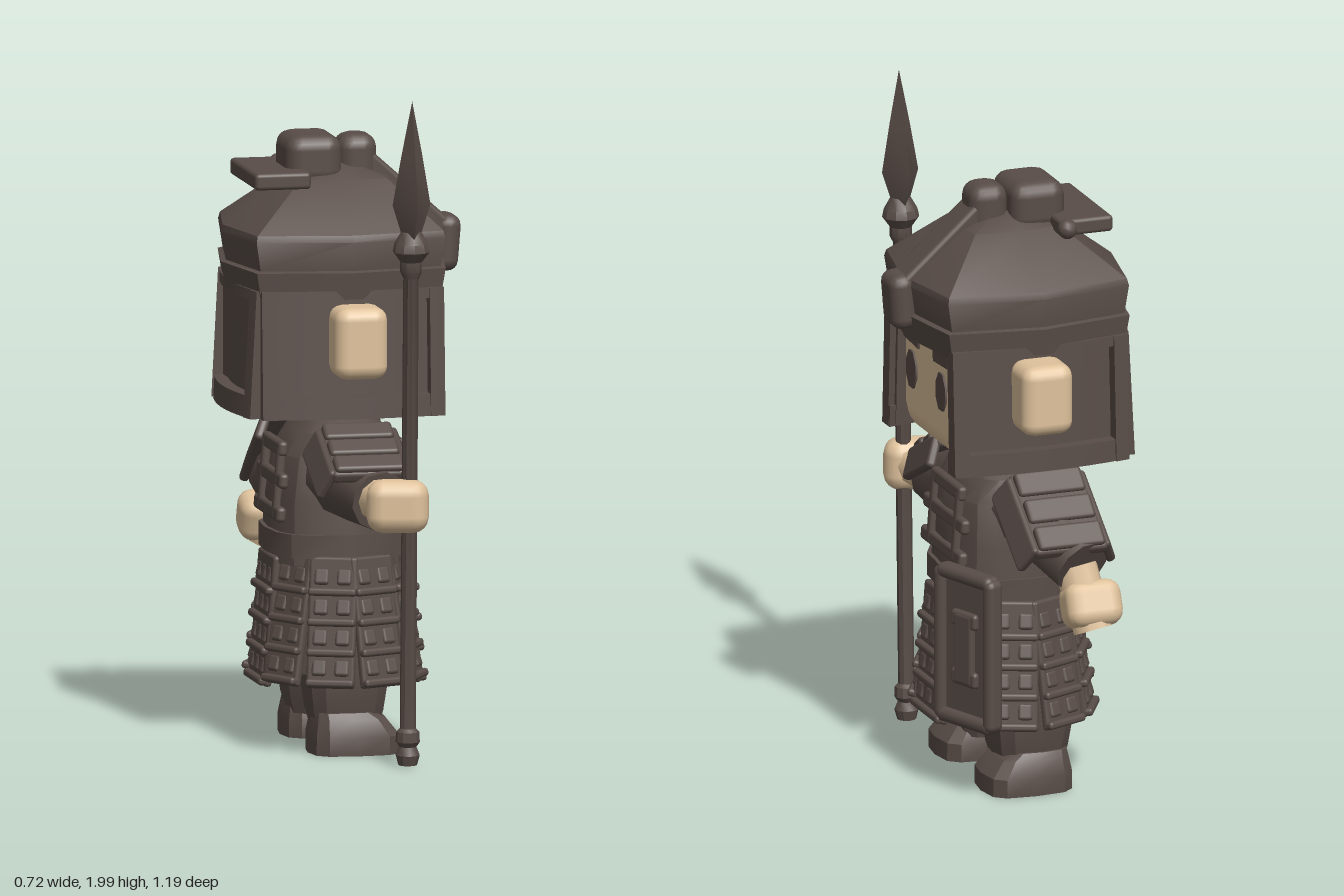
import * as THREE from 'three';
import { toCreasedNormals } from 'three/addons/utils/BufferGeometryUtils.js';
import { RoundedBoxGeometry } from 'three/addons/geometries/RoundedBoxGeometry.js';

export function createModel() {
  const armour = new THREE.MeshStandardMaterial({ color: 0x584c47 });
  armour.name = 'darkArmour';
  const skin = new THREE.MeshStandardMaterial({ color: 0xdfc29c });
  skin.name = 'skin';

  const root = new THREE.Group();
  root.name = 'spearGuard';
  const figure = new THREE.Group(); // faces +x, symmetric about its own z = 0
  figure.name = 'figure';
  figure.position.z = -0.085;
  root.add(figure);

  function add(name, geo, mat, pos = [0, 0, 0], rot = [0, 0, 0], parent = figure) {
    const m = new THREE.Mesh(geo, mat);
    m.name = name;
    m.position.set(...pos);
    m.rotation.set(...rot);
    parent.add(m);
    return m;
  }
  const rbox = (x, y, z, r = 0.02) => new RoundedBoxGeometry(x, y, z, 2, r);

  // Stacked superellipse rings [y, halfX, halfZ, centreX], capped at both ends
  function loft(rings, p = 3, n = 16) {
    const pos = [], idx = [];
    const f = (v) => (Math.abs(v) < 1e-6 ? 0 : Math.sign(v) * Math.pow(Math.abs(v), 2 / p));
    for (const [y, hx, hz, cx = 0] of rings)
      for (let j = 0; j < n; j++) {
        const t = (j / n) * Math.PI * 2;
        pos.push(cx + hx * f(Math.cos(t)), y, hz * f(Math.sin(t)));
      }
    const last = rings.length - 1, bottom = rings.length * n, top = bottom + 1;
    pos.push(rings[0][3] || 0, rings[0][0], 0, rings[last][3] || 0, rings[last][0], 0);
    for (let j = 0; j < n; j++) {
      const k = (j + 1) % n;
      for (let i = 0; i < last; i++) {
        const a = i * n + j, b = i * n + k;
        idx.push(a, a + n, b, b, a + n, b + n);
      }
      idx.push(bottom, j, k, top, last * n + k, last * n + j);
    }
    const g = new THREE.BufferGeometry();
    g.setAttribute('position', new THREE.Float32BufferAttribute(pos, 3));
    g.setIndex(idx);
    return toCreasedNormals(g, 0.5);
  }

  // Tapered limb from point a to point b
  function limb(name, a, b, ra, rb, mat, sides = 10) {
    const A = new THREE.Vector3(...a), B = new THREE.Vector3(...b), d = B.clone().sub(A);
    const m = add(name, new THREE.CylinderGeometry(rb, ra, d.length(), sides), mat);
    m.position.copy(A).add(B).multiplyScalar(0.5);
    m.quaternion.setFromUnitVectors(new THREE.Vector3(0, 1, 0), d.normalize());
  }

  // Head, hair, ears and face
  add('head', rbox(0.48, 0.5, 0.495, 0.085), skin, [-0.01, 1.27, 0]);
  add('hair', rbox(0.28, 0.36, 0.5, 0.03), armour, [-0.16, 1.21, 0]);
  add('neck', new THREE.CylinderGeometry(0.08, 0.09, 0.1, 12), armour, [-0.01, 1.0, 0]);
  for (const s of [-1, 1]) {
    add('ear', rbox(0.16, 0.215, 0.15, 0.04), skin, [-0.01, 1.245, s * 0.32]);
    const eye = add('eye', new THREE.CylinderGeometry(0.042, 0.042, 0.009, 8, 1, false, Math.PI / 8), armour, [0.232, 1.228, s * 0.123], [0, 0, -Math.PI / 2]);
    eye.scale.x = 1.45;
    add('brow', rbox(0.009, 0.046, 0.125, 0.0044), armour, [0.233, 1.332, s * 0.122], [s * -0.06, 0, 0]);
  }

  // Eight-sided helmet dome with its band
  add('helmetDome', loft([
    [1.37, 0.32, 0.315, -0.02], [1.45, 0.335, 0.322, -0.02], [1.455, 0.32, 0.31, -0.02],
    [1.54, 0.335, 0.315, -0.02], [1.56, 0.33, 0.308, -0.02], [1.7, 0.155, 0.135, -0.01], [1.74, 0.05, 0.05, -0.01],
  ], 4.3, 8), armour);

  // Framed helmet flaps, bowed outward in the middle and flared at the foot
  function flap(name, width, bulge, pos, yaw) {
    const g = new THREE.Group();
    g.name = name;
    const piece = (part, w, h, d, x, y, z) => {
      const geo = new THREE.BoxGeometry(w, h, d, 8, 1, 1).translate(x, y, z), v = geo.attributes.position;
      for (let i = 0; i < v.count; i++)
        v.setZ(i, v.getZ(i) - bulge * Math.pow((2 * v.getX(i)) / width, 2) + 0.02 * (1 - v.getY(i) / 0.38));
      geo.computeVertexNormals();
      add(part, geo, armour, [0, 0, 0], [0, 0, 0], g);
    };
    piece('flapPanel', width - 0.04, 0.37, 0.02, 0, 0.19, -0.05);
    piece('flapBottomRail', width, 0.065, 0.055, 0, 0.0325, -0.028);
    piece('flapTopRail', width, 0.03, 0.055, 0, 0.365, -0.028);
    for (const s of [-1, 1])
      piece('flapPost', 0.045, 0.38, 0.05, s * (width / 2 - 0.022), 0.19, -0.02);
    g.position.set(...pos);
    g.rotation.y = yaw;
    figure.add(g);
  }
  flap('leftFlap', 0.55, 0.03, [-0.018, 1.015, -0.31], Math.PI);
  flap('rightFlap', 0.55, 0.03, [-0.018, 1.015, 0.31], 0);
  flap('backFlap', 0.53, 0.035, [-0.335, 1.015, 0], -Math.PI / 2);

  // Top knot, crest strip and hairpin
  add('topKnot', rbox(0.17, 0.15, 0.21, 0.045), armour, [-0.09, 1.755, 0]);
  add('knotFront', rbox(0.12, 0.15, 0.13, 0.045), armour, [0.05, 1.75, 0]);
  add('crestStrip', rbox(0.33, 0.06, 0.11, 0.015), armour, [0.195, 1.64, 0], [0, 0, -0.73]);
  add('browOrnament', rbox(0.08, 0.17, 0.125, 0.035), armour, [0.32, 1.49, 0], [0, 0, -0.08]);
  add('hairPlate', rbox(0.17, 0.05, 0.36, 0.012), armour, [-0.205, 1.708, 0]);
  limb('hairPin', [-0.12, 1.71, 0.08], [-0.14, 1.71, -0.19], 0.013, 0.013, armour, 8);
  add('pinBall', new THREE.SphereGeometry(0.03, 10, 8), armour, [-0.14, 1.71, -0.19]);

  // Torso, collar and waist band
  add('torso', loft([
    [0.56, 0.2, 0.225, -0.015], [0.75, 0.195, 0.22, -0.015], [0.88, 0.18, 0.205, -0.01],
    [0.95, 0.14, 0.185, -0.005], [1.0, 0.09, 0.1],
  ]), armour);
  add('collar', loft([[0.945, 0.125, 0.14], [0.985, 0.12, 0.12]], 2.5), armour);
  add('waistBand', loft([[0.585, 0.21, 0.235, -0.015], [0.655, 0.21, 0.235, -0.015]]), armour);

  // Raised lames and straps on chest and back
  for (const s of [-1, 1]) {
    const x = (d) => -0.015 + s * d;
    for (const y of [0.71, 0.81, 0.9])
      add('chestLame', rbox(0.03, 0.045, y > 0.85 ? 0.24 : 0.33, 0.012), armour, [x(0.192 - (y - 0.71) * 0.08), y, 0], [0, 0, s * 0.08]);
    for (const z of [-0.1, 0.1])
      add('chestStrap', rbox(0.028, 0.22, 0.03, 0.01), armour, [x(0.187), 0.8, z], [0, 0, s * 0.08]);
  }

  // Skirt of hanging lamellar panels
  add('underSkirt', loft([[0.24, 0.2, 0.27, -0.01], [0.6, 0.18, 0.215, -0.01]], 2.4), armour);
  const count = 10, hx = 0.212, hz = 0.276;
  for (let i = 0; i < count; i++) {
    const t = (i / count) * Math.PI * 2, end = i % 5 === 0;
    const w = end ? 0.22 : 0.145, g = new THREE.Group();
    g.name = 'skirtPanel';
    add('panelBack', rbox(0.025, 0.39, w, 0.01), armour, [0, 0, 0], [0, 0, 0], g);
    for (let r = 0; r < 4; r++) {
      add('panelRow', rbox(0.03, 0.024, w, 0.01), armour, [0.014, 0.09 - r * 0.09, 0], [0, 0, 0], g);
      for (const c of end ? [-1, 0, 1] : [-0.5, 0.5])
        add('panelScale', rbox(0.024, 0.05, 0.045, 0.01), armour, [0.006, 0.135 - r * 0.09, c * 0.068], [0, 0, 0.15], g);
    }
    g.position.set(-0.01 + hx * Math.cos(t), end ? 0.385 : 0.4, hz * Math.sin(t));
    g.rotation.set(0, -Math.atan2(Math.sin(t) / hz, Math.cos(t) / hx), end ? 0.08 : 0.16);
    figure.add(g);
  }

  // Legs and boots
  for (const s of [-1, 1]) {
    add('leg', loft([[0.08, 0.1, 0.1, -0.02], [0.13, 0.115, 0.11, -0.02], [0.2, 0.125, 0.125, -0.02], [0.34, 0.125, 0.125, -0.02]], 3, 12), armour, [0, 0, s * 0.165]);
    add('boot', loft([[0.005, 0.135, 0.115], [0.06, 0.135, 0.118], [0.11, 0.11, 0.1, -0.015], [0.13, 0.09, 0.09, -0.03]], 3.5, 12), armour, [0, 0, s * 0.192]);
  }

  // Layered shoulder guards: outward length follows the arm slope
  function shoulder(name, pos, pitch, side, len) {
    const g = new THREE.Group();
    g.name = name;
    add('guardPlate', rbox(0.23, 0.04, len, 0.015), armour, [0, 0, 0], [0, 0, 0], g);
    for (const k of [-1, 0, 1])
      add('guardLame', rbox(0.21, 0.035, len * 0.27, 0.012), armour, [0, 0.02, k * len * 0.34], [side * 0.12, 0, 0], g);
    for (const k of [-1, 1])
      add('guardSide', rbox(0.03, 0.1, len * 0.95, 0.012), armour, [k * 0.125, -0.03, 0], [0, 0, k * 0.4], g);
    g.position.set(...pos);
    g.rotation.x = pitch;
    figure.add(g);
  }
  shoulder('rightShoulder', [0, 0.91, 0.335], 0.45, 1, 0.25);
  shoulder('leftShoulder', [-0.06, 0.875, -0.32], -0.62, -1, 0.3);

  // Arms and hands
  limb('rightSleeve', [-0.01, 0.83, 0.16], [0.03, 0.785, 0.45], 0.135, 0.09, armour);
  limb('rightWrist', [0.02, 0.79, 0.43], [0.06, 0.79, 0.57], 0.065, 0.07, skin);
  add('rightFist', rbox(0.185, 0.16, 0.11, 0.05), skin, [0.055, 0.788, 0.57], [0, -0.25, 0]);
  limb('leftSleeve', [-0.01, 0.87, -0.15], [-0.1, 0.735, -0.42], 0.115, 0.09, armour);
  limb('leftWrist', [-0.09, 0.73, -0.39], [-0.12, 0.55, -0.46], 0.065, 0.06, skin);
  add('leftFist', rbox(0.175, 0.14, 0.13, 0.045), skin, [-0.12, 0.625, -0.44], [0.4, 0, 0]);

  // Rectangular shield at the left hip
  const shield = new THREE.Group();
  shield.name = 'shield';
  add('shieldBoard', rbox(0.03, 0.46, 0.23, 0.014), armour, [-0.008, 0, 0], [0, 0, 0], shield);
  for (const s of [-1, 1]) {
    add('shieldRimUpright', rbox(0.06, 0.47, 0.045, 0.022), armour, [0, 0, s * 0.11], [0, 0, 0], shield);
    add('shieldRimCross', rbox(0.06, 0.045, 0.24, 0.022), armour, [0, s * 0.222, 0], [0, 0, 0], shield);
    add('shieldBossEnd', rbox(0.03, 0.05, 0.11, 0.012), armour, [0.008, s * 0.09, 0], [0, 0, 0], shield);
  }
  add('shieldBoss', rbox(0.03, 0.22, 0.08, 0.012), armour, [0.01, 0, 0], [0, 0, 0], shield);
  shield.position.set(0.193, 0.465, -0.24);
  shield.rotation.y = 0.36;
  figure.add(shield);

  // Spear, leaning slightly outward
  const spear = new THREE.Group();
  spear.name = 'spear';
  const lathe = (pts, n) => toCreasedNormals(new THREE.LatheGeometry(pts.map(([r, y]) => new THREE.Vector2(r, y)), n), 0.6);
  add('shaft', lathe([[0, 0.005], [0.028, 0.01], [0.036, 0.04], [0.026, 0.065], [0.036, 0.08], [0.034, 0.11], [0.024, 0.12],
    [0.023, 1.47], [0.033, 1.49], [0.033, 1.52], [0.055, 1.55], [0.05, 1.575], [0.03, 1.61], [0, 1.61]], 10), armour, [0, 0, 0], [0, 0, 0], spear);
  add('blade', lathe([[0, 1.56], [0.03, 1.57], [0.088, 1.69], [0.048, 1.84], [0, 2.0]], 4), armour, [0, 0, 0], [0, 0, 0], spear).scale.x = 0.65;
  spear.position.set(0.092, 0, 0.537);
  spear.rotation.x = 0.0325;
  figure.add(spear);

  return root;
}
